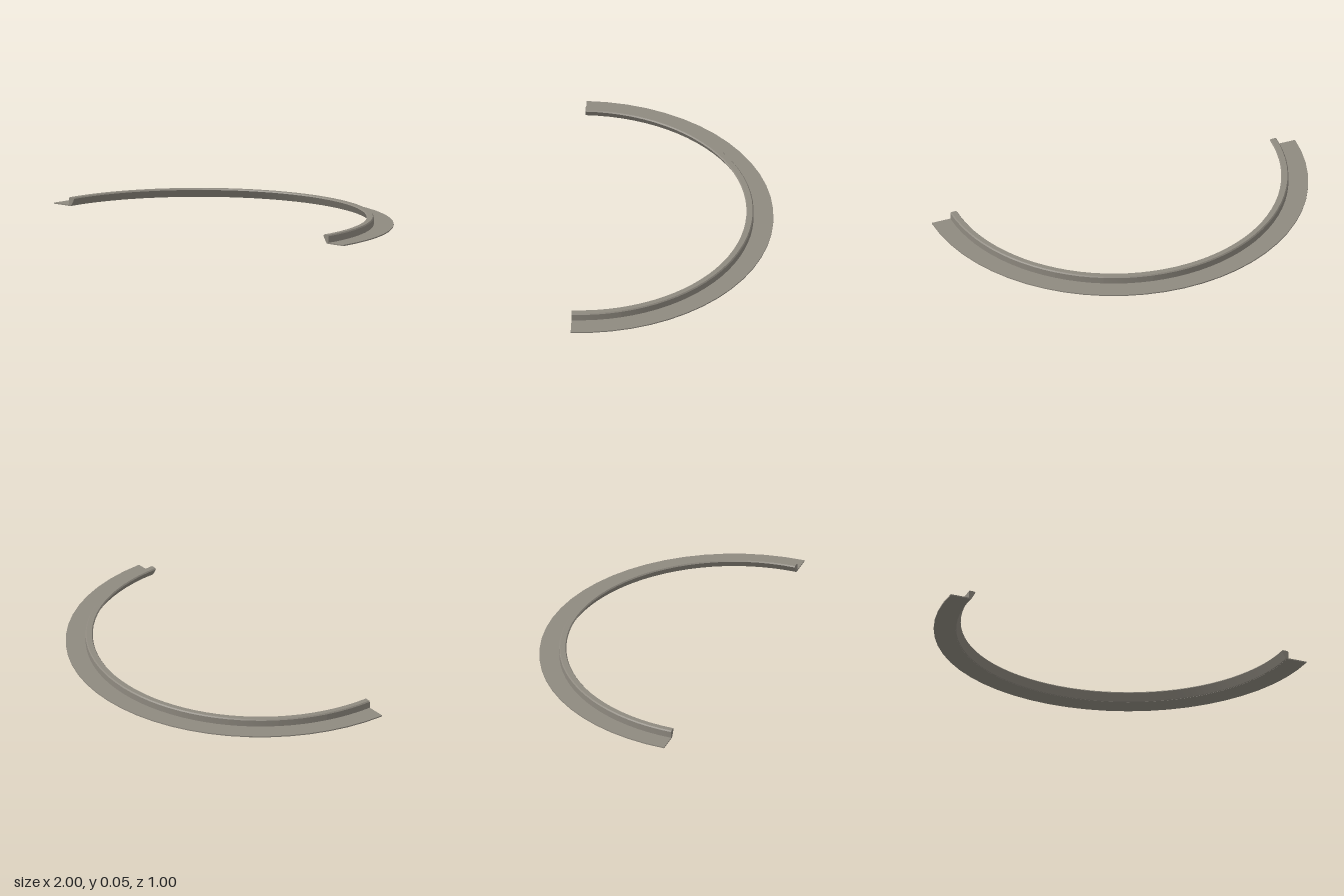
import * as THREE from 'three';

const CENTER_Z = 0.5;
const material = new THREE.MeshStandardMaterial({ color: 0x8f8a80 });

// Sweeps a convex (radius, height) profile, listed counter-clockwise, along an arc.
// Each profile edge gets its own strip, so edges stay sharp and the arc stays smooth.
function arcPiece(profile, start, end, steps) {
  const pos = [], idx = [];
  const add = ([r, y], a) => pos.push(r * Math.cos(a), y, CENTER_Z - r * Math.sin(a)) / 3 - 1;

  profile.forEach((p, i) => {
    const q = profile[(i + 1) % profile.length];
    for (let s = 0; s <= steps; s++) {
      const a = start + (end - start) * s / steps;
      const k = add(p, a);
      add(q, a);
      if (s < steps) idx.push(k, k + 2, k + 1, k + 1, k + 2, k + 3);
    }
  });

  // End caps
  for (const a of [start, end]) {
    const first = pos.length / 3;
    profile.forEach(p => add(p, a));
    for (let i = 1; i < profile.length - 1; i++) {
      if (a === start) idx.push(first, first + i, first + i + 1);
      else idx.push(first, first + i + 1, first + i);
    }
  }

  const geometry = new THREE.BufferGeometry();
  geometry.setAttribute('position', new THREE.Float32BufferAttribute(pos, 3));
  geometry.setIndex(idx);
  geometry.computeVertexNormals();
  return geometry;
}

// Half ring made of equal pieces laid end to end
function halfRing(name, pieceName, profile, count, steps) {
  const group = new THREE.Group();
  group.name = name;
  for (let i = 0; i < count; i++) {
    const geometry = arcPiece(profile, Math.PI * i / count, Math.PI * (i + 1) / count, steps);
    const mesh = new THREE.Mesh(geometry, material);
    mesh.name = pieceName + (i + 1);
    group.add(mesh);
  }
  return group;
}

export function createModel() {
  const model = new THREE.Group();
  model.name = 'curvedKerb';

  // Thin flat outer slab in five sections
  const slab = [[0.89, 0], [1, 0], [1, 0.006], [0.89, 0.006]];
  model.add(halfRing('slab', 'slabSection', slab, 5, 6));

  // Raised inner kerb in eleven stones, undercut on the inside, bevelled on top
  const kerb = [
    [0.884, 0.001], [0.898, 0.001], [0.898, 0.04], [0.893, 0.046],
    [0.866, 0.046], [0.861, 0.04],
  ];
  model.add(halfRing('kerb', 'kerbStone', kerb, 11, 4));

  return model;
}
